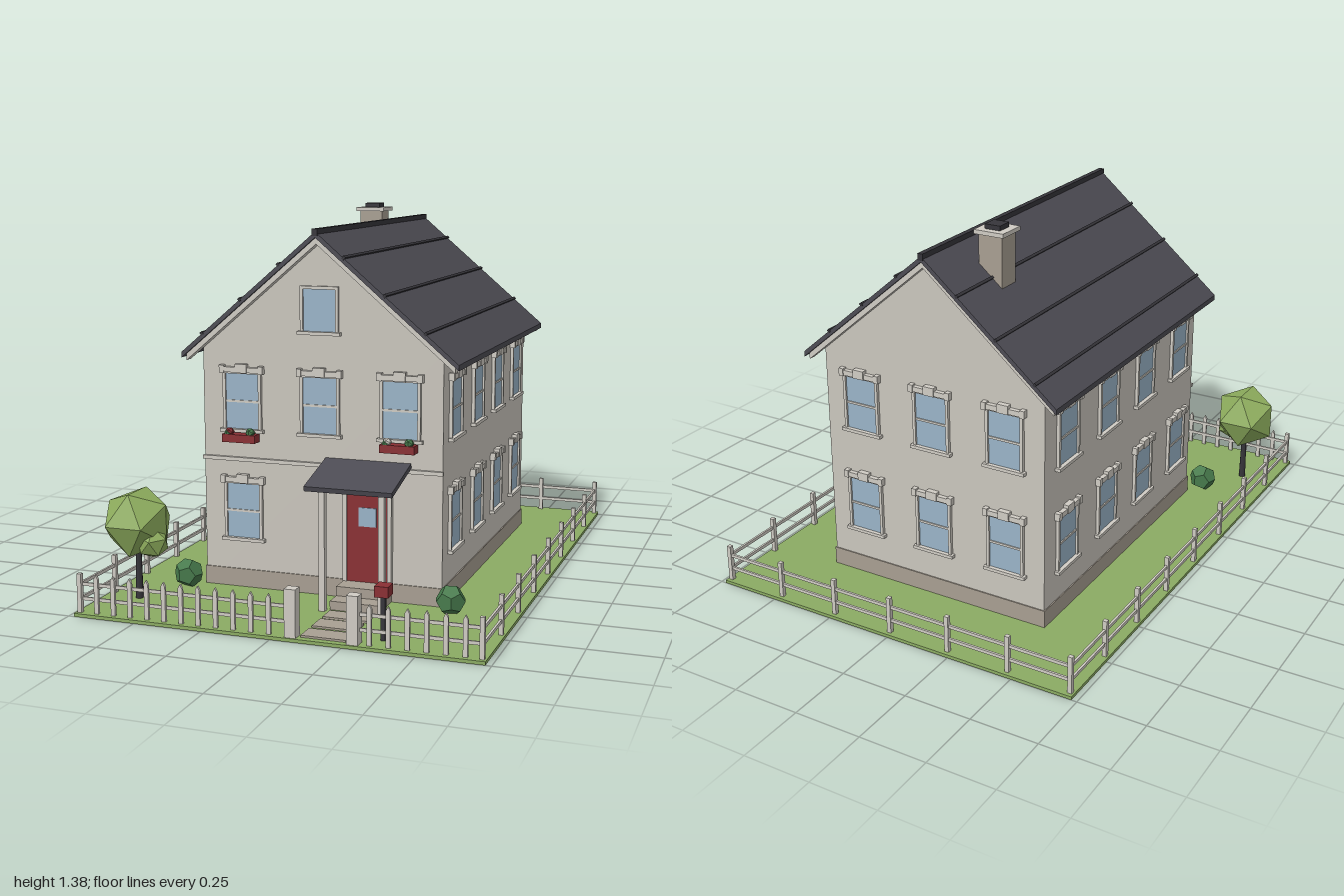
import * as THREE from 'three';

const mat = (name, color) => {
  const m = new THREE.MeshStandardMaterial({ color });
  m.name = name;
  return m;
};

export function createModel() {
  const model = new THREE.Group();
  model.name = 'house';
  const wall = mat('wall', 0xcac6bd), trim = mat('trim', 0xd0ccc4), roof = mat('roof slate', 0x4d4c54);
  const dark = mat('dark', 0x36353a), glass = mat('glass', 0x9ab4c8), red = mat('red', 0x8a3034);
  const grass = mat('grass', 0x8bab63), leaf = mat('leaf', 0x8cab5c), bushGreen = mat('bush green', 0x477a4c);
  const stone = mat('stone', 0xa89f92);
  leaf.flatShading = bushGreen.flatShading = true;

  const add = (parent, name, geo, m, x = 0, y = 0, z = 0) => {
    const mesh = new THREE.Mesh(geo, m);
    mesh.name = name;
    mesh.position.set(x, y, z);
    parent.add(mesh);
    return mesh;
  };
  // Box given by its lower and upper limits on each axis
  const box = (parent, name, m, [x0, x1], [y0, y1], [z0, z1]) =>
    add(parent, name, new THREE.BoxGeometry(x1 - x0, y1 - y0, z1 - z0), m, (x0 + x1) / 2, (y0 + y1) / 2, (z0 + z1) / 2);
  const group = (name, parent = model) => {
    const g = new THREE.Group();
    g.name = name;
    parent.add(g);
    return g;
  };
  // Outline in x and y, extruded from z0 to z1
  const prism = (parent, name, m, points, z0, z1) => {
    const shape = new THREE.Shape(points.map(([x, y]) => new THREE.Vector2(x, y)));
    const geo = new THREE.ExtrudeGeometry(shape, { depth: z1 - z0, bevelEnabled: false });
    return add(parent, name, geo, m, 0, 0, z0);
  };

  box(model, 'lawn', grass, [-0.73, 0.73], [0, 0.012], [-1, 1]);

  // House body
  const FRONT = 0.52, BACK = -0.685, SIDE = 0.45, SLOPE = 0.85;
  prism(model, 'walls', wall, [[-SIDE, 0.012], [SIDE, 0.012], [SIDE, 1.29 - SIDE * SLOPE], [0, 1.29], [-SIDE, 1.29 - SIDE * SLOPE]], BACK, FRONT);
  box(model, 'foundation', stone, [-0.454, 0.454], [0.012, 0.078], [BACK - 0.004, FRONT + 0.004]);
  box(model, 'stringCourse', trim, [-0.453, 0.453], [0.481, 0.495], [FRONT, FRONT + 0.012]);

  // Roof slabs, gable boards, seams and ridge
  const chevron = (top, thick, w) => [[-w, top - w * SLOPE], [-w, top - thick - w * SLOPE], [0, top - thick],
    [w, top - thick - w * SLOPE], [w, top - w * SLOPE], [0, top]];
  const roofGroup = group('roof');
  prism(roofGroup, 'roofSlabs', roof, chevron(1.312, 0.02, 0.515), -0.725, 0.565);
  prism(roofGroup, 'frontGableBoard', trim, chevron(1.293, 0.024, 0.5), FRONT, 0.555);
  prism(roofGroup, 'backGableBoard', trim, chevron(1.293, 0.024, 0.5), -0.715, BACK);
  for (const x of [-0.434, -0.286, -0.138, 0.104, 0.252, 0.398]) {
    const seam = box(roofGroup, 'roofSeam', dark, [x - 0.005, x + 0.005], [0, 0.012], [-0.727, 0.567]);
    seam.position.y = 1.313 - Math.abs(x) * SLOPE;
    seam.rotation.z = -Math.sign(x) * Math.atan(SLOPE);
  }
  box(roofGroup, 'ridgeCap', dark, [-0.01, 0.01], [1.298, 1.322], [-0.728, 0.568]);

  // Chimney
  const chimney = group('chimney');
  box(chimney, 'chimneyShaft', stone, [-0.177, -0.085], [1.1, 1.346], [-0.5, -0.41]);
  box(chimney, 'chimneyCap', trim, [-0.189, -0.073], [1.345, 1.36], [-0.512, -0.398]);
  box(chimney, 'chimneyFlue', dark, [-0.161, -0.101], [1.36, 1.377], [-0.485, -0.425]);

  // Sash window on a wall, built facing +z around its centre
  const addWindow = (x, y, z, turn, w = 0.126, h = 0.2, hood = true) => {
    const g = group('window'), a = w / 2, b = h / 2, f = 0.011;
    g.position.set(x, y, z);
    g.rotation.y = turn;
    box(g, 'pane', glass, [-a, a], [-b, b], [0, 0.005]);
    for (const s of [-1, 1]) {
      const c = s * (a + f / 2);
      box(g, 'jamb', trim, [c - f / 2, c + f / 2], [-b - 0.004, b + f], [0, 0.012]);
    }
    box(g, 'headRail', trim, [-a, a], [b, b + f], [0, 0.012]);
    box(g, 'sill', trim, [-a - 0.02, a + 0.02], [-b - 0.012, -b], [0, 0.02]);
    if (!hood) return;
    box(g, 'meetingRail', trim, [-a, a], [-0.004, 0.004], [0, 0.009]);
    box(g, 'lintel', trim, [-a - 0.021, a + 0.021], [b + 0.005, b + 0.024], [0, 0.017]);
    for (const s of [-1, 1])
      box(g, 'lintelEnd', trim, [s * (a + 0.012) - 0.009, s * (a + 0.012) + 0.009], [b + 0.002, b + 0.03], [0, 0.02]);
    box(g, 'keystone', trim, [-0.022, 0.022], [b + 0.004, b + 0.036], [0, 0.021]);
  };
  const COLS = [-0.297, 0, 0.297], ROWS = [0.298, 0.7];
  for (const y of ROWS) {
    for (const x of COLS) {
      if (y > 0.5 || x < 0) addWindow(x, y, FRONT, 0);
      addWindow(x, y, BACK, Math.PI);
    }
    for (const z of [0.374, 0.072, -0.227, -0.53])
      for (const s of [-1, 1]) addWindow(s * SIDE, y, z, s * Math.PI / 2);
  }
  addWindow(0, 1.037, FRONT, 0, 0.12, 0.148, false);

  // Window boxes with flowers
  for (const [x, bloom] of [[-0.297, red], [0.297, trim]]) {
    const g = group('windowBox');
    box(g, 'planter', red, [x - 0.063, x + 0.063], [0.556, 0.585], [FRONT, 0.567]);
    add(g, 'flower', new THREE.IcosahedronGeometry(0.017, 0), bloom, x - 0.04, 0.592, 0.55);
    add(g, 'flowerLeaves', new THREE.IcosahedronGeometry(0.013, 0), bushGreen, x - 0.045, 0.588, 0.556);
    add(g, 'plant', new THREE.IcosahedronGeometry(0.018, 0), bushGreen, x + 0.04, 0.592, 0.55);
  }

  // Door
  const door = group('door');
  box(door, 'doorPanel', red, [0.103, 0.253], [0.077, 0.395], [FRONT, FRONT + 0.012]);
  box(door, 'doorPane', glass, [0.146, 0.212], [0.28, 0.348], [FRONT + 0.01, FRONT + 0.015]);
  add(door, 'doorKnob', new THREE.SphereGeometry(0.006, 10, 8), dark, 0.226, 0.22, FRONT + 0.016);
  for (const x of [0.087, 0.253]) box(door, 'doorJamb', trim, [x, x + 0.016], [0.077, 0.395], [FRONT, FRONT + 0.018]);
  box(door, 'doorHead', trim, [0.087, 0.269], [0.395, 0.411], [FRONT, FRONT + 0.018]);

  // Porch, steps and path
  const porch = group('porch');
  const slab = box(porch, 'porchRoof', roof, [0.02, 0.336], [-0.009, 0.009], [-0.111, 0.111]);
  slab.position.set(0.178, 0.479, 0.629);
  slab.rotation.x = 0.26;
  for (const x of [0.07, 0.286]) {
    box(porch, 'porchPost', trim, [x - 0.011, x + 0.011], [0.012, 0.446], [0.68, 0.702]);
    box(porch, 'porchSideBeam', trim, [x - 0.01, x + 0.01], [0.44, 0.456], [FRONT, 0.702]);
  }
  box(porch, 'porchFrontBeam', trim, [0.05, 0.306], [0.44, 0.456], [0.68, 0.702]);
  box(porch, 'upperStep', stone, [0.09, 0.266], [0.012, 0.077], [FRONT, 0.61]);
  box(porch, 'lowerStep', stone, [0.09, 0.266], [0.012, 0.043], [0.61, 0.675]);
  for (const [z0, z1] of [[0.7, 0.772], [0.793, 0.873], [0.898, 0.975]])
    box(model, 'pathSlab', stone, [0.1, 0.258], [0.012, 0.019], [z0, z1]);

  // Fence: posts at the sides and back, pointed pickets at the front
  const fence = group('fence'), FX = 0.715, FZ = 0.978;
  const post = (x, z) => box(fence, 'fencePost', trim, [x - 0.008, x + 0.008], [0.012, 0.15], [z - 0.008, z + 0.008]);
  for (let i = 0; i <= 8; i++) for (const s of [-1, 1]) post(s * FX, -FZ + i * FZ / 4);
  for (let i = 1; i < 6; i++) post(-FX + i * FX / 3, -FZ);
  const picket = (x) => {
    box(fence, 'picket', trim, [x - 0.008, x + 0.008], [0.012, 0.135], [FZ - 0.005, FZ + 0.005]);
    prism(fence, 'picketTip', trim, [[x - 0.008, 0.135], [x + 0.008, 0.135], [x, 0.15]], FZ - 0.005, FZ + 0.005);
  };
  for (let i = 1; i < 12; i++) picket(-FX + i * 0.064);
  for (let i = 0; i < 6; i++) picket(0.34 + i * 0.064);
  for (const y of [0.06, 0.112]) {
    const h = [y - 0.006, y + 0.006];
    for (const s of [-1, 1]) box(fence, 'sideRail', trim, [s * FX - 0.004, s * FX + 0.004], h, [-FZ, FZ]);
    box(fence, 'backRail', trim, [-FX, FX], h, [-FZ - 0.004, -FZ + 0.004]);
    box(fence, 'frontLeftRail', trim, [0.29, FX], h, [FZ - 0.009, FZ - 0.003]);
    box(fence, 'frontRightRail', trim, [-FX, 0.07], h, [FZ - 0.009, FZ - 0.003]);
  }
  for (const x of [0.07, 0.286]) box(fence, 'gatePost', trim, [x - 0.02, x + 0.02], [0.012, 0.177], [0.955, 0.995]);

  // Mailbox
  const mailbox = group('mailbox');
  box(mailbox, 'mailboxPost', dark, [0.358, 0.374], [0.012, 0.165], [0.907, 0.921]);
  box(mailbox, 'mailboxBody', red, [0.343, 0.39], [0.163, 0.2], [0.887, 0.941]);

  // Tree and bushes
  const tree = group('tree');
  add(tree, 'trunk', new THREE.CylinderGeometry(0.01, 0.014, 0.2, 8), dark, -0.6, 0.112, 0.765);
  add(tree, 'crown', new THREE.IcosahedronGeometry(0.131, 0), leaf, -0.6, 0.291, 0.765).rotation.y = Math.PI / 2;
  add(tree, 'lowerCrown', new THREE.IcosahedronGeometry(0.06, 0), leaf, -0.53, 0.228, 0.79).rotation.set(0.3, 0.5, 0.4);
  for (const s of [-1, 1])
    add(model, 'bush', new THREE.DodecahedronGeometry(0.054, 0), bushGreen, s * 0.498, 0.06, 0.577).rotation.y = s * 0.3;

  return model;
}
